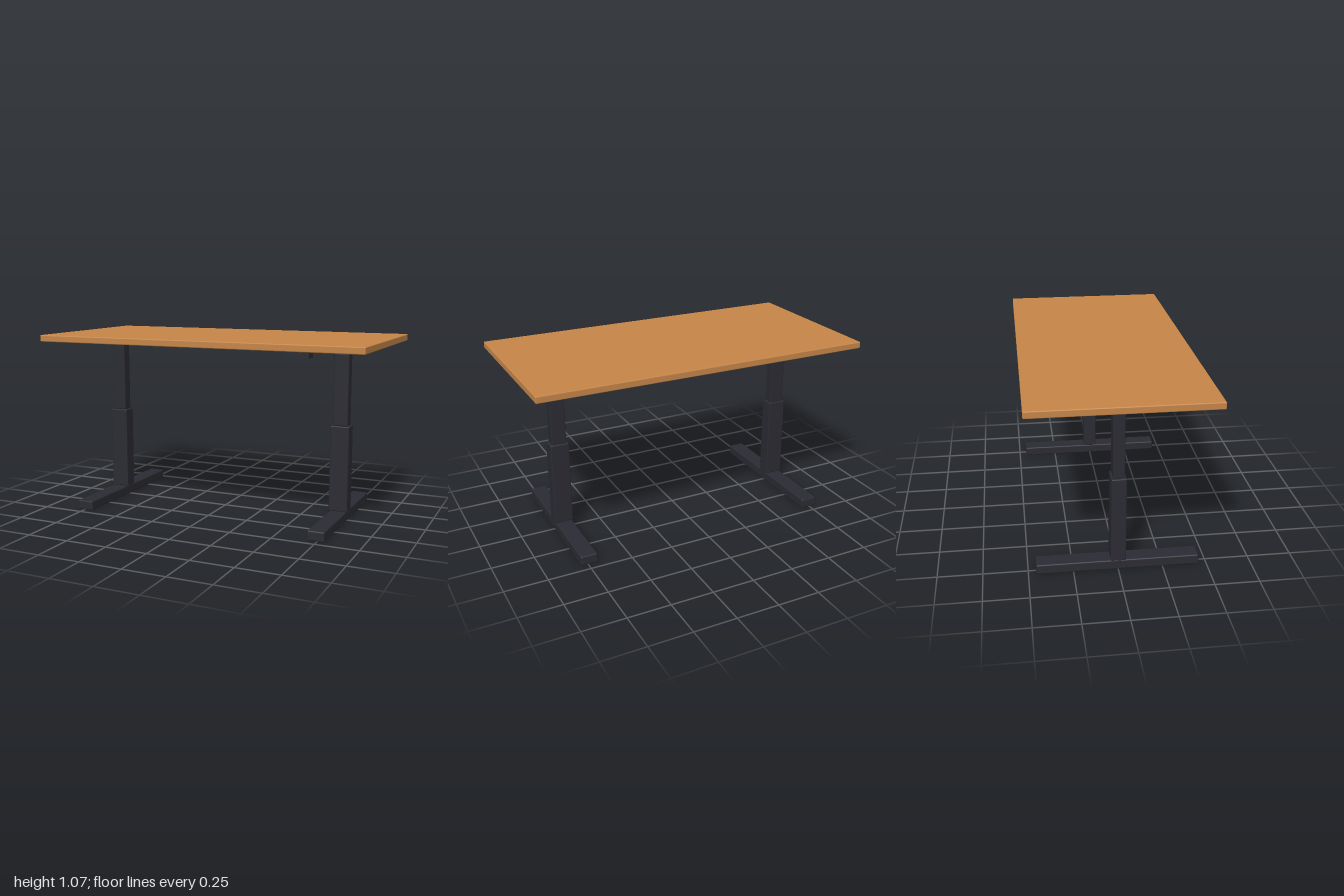
import * as THREE from 'three';
import { RoundedBoxGeometry } from 'three/addons/geometries/RoundedBoxGeometry.js';

export function createModel() {
  const model = new THREE.Group();
  model.name = 'standingDesk';

  const wood = new THREE.MeshStandardMaterial({ color: 0xc68649 });
  wood.name = 'wood';
  const metal = new THREE.MeshStandardMaterial({ color: 0x2b2b33 });
  metal.name = 'darkMetal';

  // Box spanning y0..y1, centred on x and z, with optional softened edges
  function addBox(parent, name, material, width, depth, y0, y1, radius, x = 0, z = 0) {
    const h = y1 - y0;
    const geometry = radius
      ? new RoundedBoxGeometry(width, h, depth, 3, radius)
      : new THREE.BoxGeometry(width, h, depth);
    const mesh = new THREE.Mesh(geometry, material);
    mesh.name = name;
    mesh.position.set(x, (y0 + y1) / 2, z);
    parent.add(mesh);
  }

  // Top, the beam beneath it and the control box
  addBox(model, 'tabletop', wood, 2, 1, 1.031, 1.071, 0.006);
  addBox(model, 'crossBeam', metal, 1.484, 0.084, 0.988, 1.031, 0.006);
  addBox(model, 'controlBox', metal, 0.146, 0.07, 0.995, 1.031, 0, 0.613, 0.421);

  // Telescopic legs, one per side
  for (const [side, sign] of [['left', 1], ['right', -1]]) {
    const leg = new THREE.Group();
    leg.name = side + 'Leg';
    leg.position.x = sign * 0.742;
    addBox(leg, 'foot', metal, 0.1, 0.912, 0, 0.058, 0.008);
    addBox(leg, 'lowerColumn', metal, 0.112, 0.084, 0.058, 0.567, 0.006);
    addBox(leg, 'upperColumn', metal, 0.088, 0.066, 0.567, 0.988, 0.006);
    model.add(leg);
  }

  return model;
}
